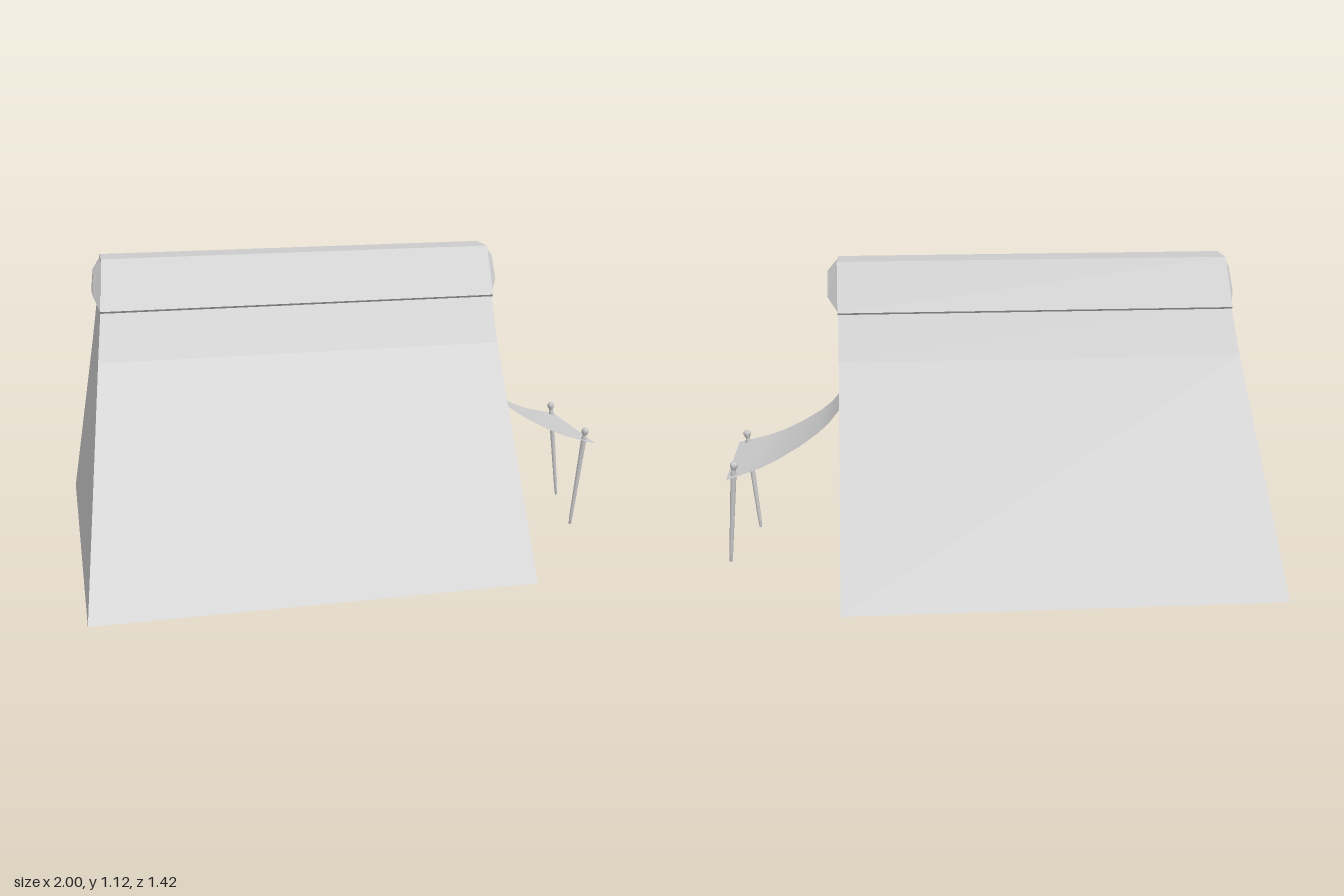
import * as THREE from 'three';

const grey = new THREE.MeshStandardMaterial({ color: 0xcccccc });
const sheetGrey = new THREE.MeshStandardMaterial({ color: 0xcccccc, side: THREE.DoubleSide });

// Symmetric ring from a half profile of [halfWidth, y, x], bottom to top
const ring = (half) => [
  ...half.map(([w, y, x]) => [x, y, -w]),
  ...half.map(([w, y, x]) => [x, y, w]).reverse(),
];

// Closed, flat-shaded loft through half profiles ordered from -x to +x
function loft(name, halves) {
  const rings = halves.map(ring);
  const n = rings[0].length;
  const pos = [];
  const quad = (a, b, c, d) => pos.push(...a, ...b, ...d, ...b, ...c, ...d);
  for (let i = 0; i < rings.length - 1; i++) {
    for (let j = 0; j < n; j++) {
      const k = (j + 1) % n;
      quad(rings[i][j], rings[i][k], rings[i + 1][k], rings[i + 1][j]);
    }
  }
  const first = rings[0], last = rings[rings.length - 1];
  for (let j = 0; j < n / 2 - 1; j++) {
    quad(last[j], last[j + 1], last[n - 2 - j], last[n - 1 - j]);
    quad(first[n - 1 - j], first[n - 2 - j], first[j + 1], first[j]);
  }
  const geo = new THREE.BufferGeometry();
  geo.setAttribute('position', new THREE.Float32BufferAttribute(pos, 3));
  geo.computeVertexNormals();
  const mesh = new THREE.Mesh(geo, grey);
  mesh.name = name;
  return mesh;
}

// Awning: a sagging sheet that widens outwards
function awning() {
  const profile = new THREE.CatmullRomCurve3(
    [[0.56, 0.59], [0.63, 0.512], [0.82, 0.4], [0.985, 0.35]].map(([x, y]) => new THREE.Vector3(x, y, 0)));
  const steps = 8;
  const geo = new THREE.PlaneGeometry(1, 1, steps, 1);
  const p = geo.attributes.position;
  for (let i = 0; i < p.count; i++) {
    const c = profile.getPoint(p.getX(i) + 0.5);
    const t = (c.x - 0.56) / 0.425;
    const z = -p.getY(i) * 2 * (0.132 + 0.09 * t) - 0.003 - 0.013 * t;
    p.setXYZ(i, c.x, c.y, z);
  }
  geo.computeVertexNormals();
  const mesh = new THREE.Mesh(geo, sheetGrey);
  mesh.name = 'awning';
  return mesh;
}

// Tapered pole with a turned knob, leaning from foot to top
function pole(name, foot, top) {
  const a = new THREE.Vector3(...foot), b = new THREE.Vector3(...top);
  const axis = b.clone().sub(a), h = axis.length();
  const pts = [[0, 0], [0.005, 0], [0.007, 0.03], [0.011, h - 0.045], [0.008, h - 0.035],
    [0.008, h - 0.028], [0.014, h - 0.018], [0.014, h - 0.008], [0.008, h], [0, h]];
  const geo = new THREE.LatheGeometry(pts.map(([r, y]) => new THREE.Vector2(r, y)), 8);
  const mesh = new THREE.Mesh(geo, grey);
  mesh.name = name;
  mesh.position.copy(a);
  mesh.quaternion.setFromUnitVectors(new THREE.Vector3(0, 1, 0), axis.normalize());
  return mesh;
}

export function createModel() {
  const group = new THREE.Group();
  group.name = 'tent';

  // Body: steep walls with a slight kink, sloping rear end
  group.add(loft('tentBody', [
    [[0.71, 0.02, -1], [0.215, 0.78, -0.908], [0.13, 0.95, -0.888]],
    [[0.71, 0.02, 0.56], [0.215, 0.78, 0.56], [0.13, 0.95, 0.56]],
  ]));

  // Ridge cover with a thin lip along its lower edge
  group.add(loft('ridgeCover', [
    [[0.138, 0.94, -0.89], [0.147, 0.948, -0.89], [0.06, 1.12, -0.875]],
    [[0.138, 0.94, 0.562], [0.147, 0.948, 0.562], [0.06, 1.12, 0.562]],
  ]));

  // Bevelled plugs closing both ends of the ridge
  group.add(loft('ridgeEndRear', [
    [[0.06, 0.99, -0.91], [0.01, 1.075, -0.903]],
    [[0.13, 0.945, -0.889], [0.02, 1.12, -0.874]],
  ]));
  group.add(loft('ridgeEndEntrance', [
    [[0.13, 0.945, 0.56], [0.02, 1.12, 0.56]],
    [[0.06, 0.99, 0.6], [0.01, 1.075, 0.6]],
  ]));

  group.add(awning());
  group.add(pole('poleFront', [0.914, 0.004, 0.155], [0.951, 0.407, 0.175]));
  group.add(pole('poleBack', [0.993, 0.004, -0.18], [0.957, 0.407, -0.2]));
  return group;
}
